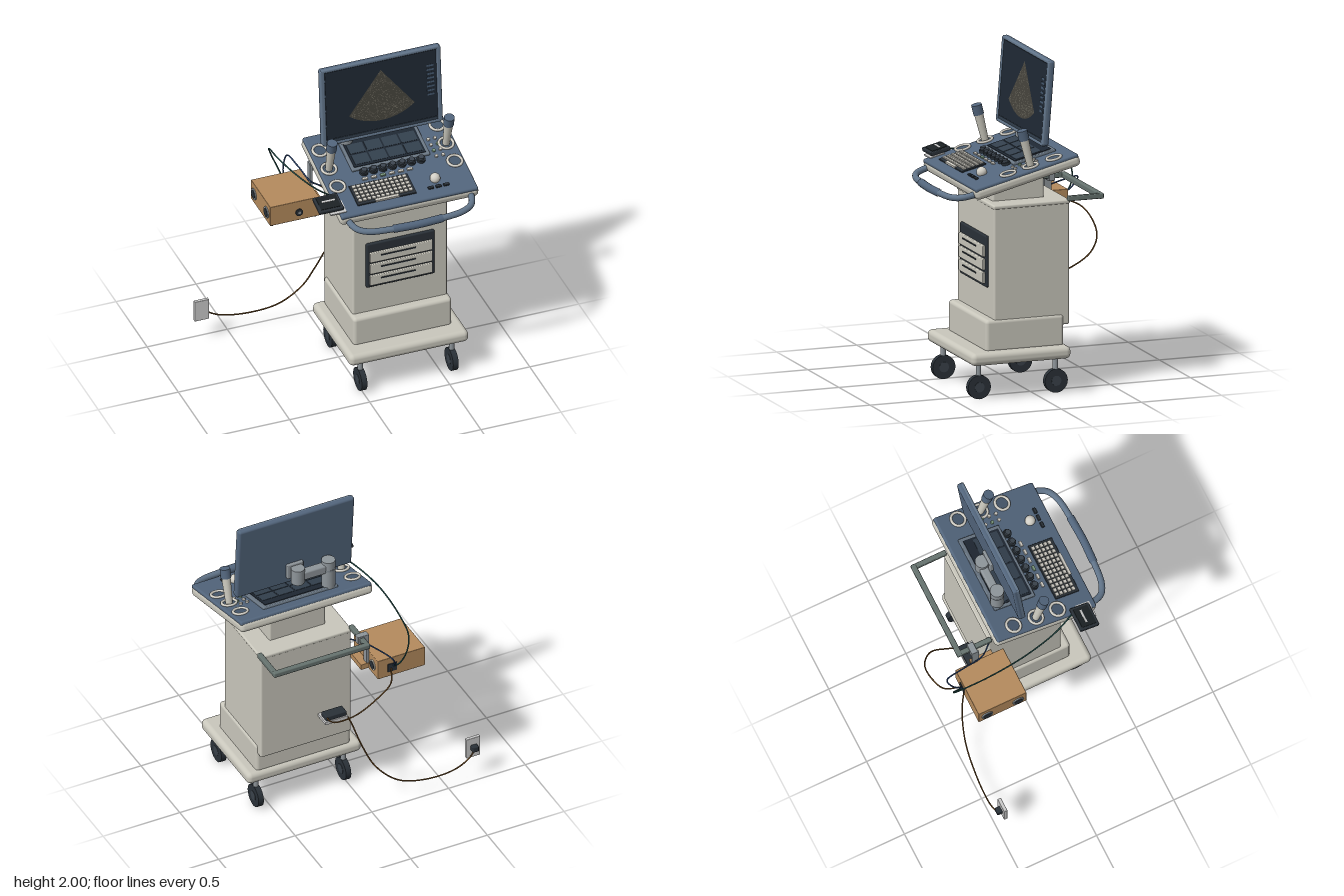
import * as THREE from 'three';
import { RoundedBoxGeometry } from 'three/addons/geometries/RoundedBoxGeometry.js';

const BEIGE = 0xc9c7bc, BLUE = 0x53667d, DARK = 0x2a3138, SCREEN = 0x1f2833, WOOD = 0xb58b5d;
const METAL = 0x8e959a, RAIL = 0x66736f, KEY = 0xd2cfc6, WHITE = 0xd6d6d4;
const V = (x, y, z) => new THREE.Vector3(x, y, z);
const mats = {};
const mat = c => (mats[c] ??= new THREE.MeshStandardMaterial({ color: c }));

function add(parent, name, geo, color, x = 0, y = 0, z = 0) {
  const m = new THREE.Mesh(geo, mat(color));
  m.name = name;
  m.position.set(x, y, z);
  parent.add(m);
  return m;
}
// Box given by its extents, with optional rounded edges
function box(parent, name, color, x0, x1, y0, y1, z0, z1, r = 0) {
  const w = x1 - x0, h = y1 - y0, d = z1 - z0;
  const geo = r ? new RoundedBoxGeometry(w, h, d, 3, r) : new THREE.BoxGeometry(w, h, d);
  return add(parent, name, geo, color, (x0 + x1) / 2, (y0 + y1) / 2, (z0 + z1) / 2);
}
function cyl(parent, name, color, r, h, x, y, z, axis = 'y', r2 = r) {
  const m = add(parent, name, new THREE.CylinderGeometry(r, r2, h, 24), color, x, y, z);
  if (axis === 'x') m.rotation.z = Math.PI / 2;
  if (axis === 'z') m.rotation.x = Math.PI / 2;
  return m;
}
function tube(parent, name, color, r, pts, sides = 8) {
  const curve = new THREE.CatmullRomCurve3(pts.map(p => V(...p)), false, 'centripetal');
  return add(parent, name, new THREE.TubeGeometry(curve, 64, r, sides), color);
}
function group(parent, name, x = 0, y = 0, z = 0) {
  const g = new THREE.Group();
  g.name = name;
  g.position.set(x, y, z);
  parent.add(g);
  return g;
}

function buildCart(root) {
  const g = group(root, 'cart');
  box(g, 'basePlate', BEIGE, -0.09, 0.655, 0.21, 0.285, -0.2, 0.42, 0.03);
  box(g, 'plinth', BEIGE, -0.025, 0.59, 0.27, 0.465, -0.178, 0.31, 0.022);
  box(g, 'body', BEIGE, -0.01, 0.58, 0.4, 1.135, -0.215, 0.257, 0.012);
  box(g, 'bodyLid', BEIGE, -0.014, 0.584, 1.12, 1.145, -0.218, 0.26, 0.01);
  box(g, 'neck', BEIGE, 0.1, 0.465, 1.13, 1.3, -0.1, 0.22, 0.012);
  box(g, 'neckCore', BEIGE, 0.13, 0.435, 1.28, 1.33, -0.06, 0.17);
  // Casters
  for (const x of [0, 0.57]) for (const z of [0.35, -0.13]) {
    const c = group(g, 'caster', x, 0, z);
    cyl(c, 'wheel', DARK, 0.071, 0.034, 0, 0.071, 0, 'x');
    cyl(c, 'hub', 0x3a424a, 0.03, 0.038, 0, 0.071, 0, 'x');
    cyl(c, 'stem', METAL, 0.016, 0.09, 0, 0.175, 0);
  }
  // Drawers
  box(g, 'drawerFrame', DARK, 0.07, 0.495, 0.64, 0.945, 0.25, 0.274, 0.008);
  for (let i = 0; i < 3; i++) {
    const y = 0.66 + i * 0.08;
    box(g, 'drawer', BEIGE, 0.088, 0.478, y, y + 0.067, 0.26, 0.288, 0.005);
    box(g, 'drawerSlot', DARK, 0.153, 0.37, y + 0.041, y + 0.049, 0.28, 0.292);
  }
  // Rear rail: two side arms and a crossbar
  for (const x of [-0.015, 0.583]) box(g, 'railArm', RAIL, x - 0.015, x + 0.015, 1.137, 1.167, -0.42, -0.2, 0.006);
  box(g, 'railBar', RAIL, -0.03, 0.598, 1.135, 1.169, -0.424, -0.392, 0.008);
}

function buildConsole(root) {
  const T = 0.245, g = group(root, 'console', 0.285, 1.365, 0.107);
  g.rotation.x = T;
  // Deck coordinates: x and z as seen from above, h is height over the deck
  const X = x => x - 0.285, Z = z => (z - 0.107) / Math.cos(T);
  const pad = (name, c, x0, x1, z0, z1, h0, h1, r = 0) => box(g, name, c, X(x0), X(x1), h0, h1, Z(z0), Z(z1), r);
  const knob = (name, c, r, h, x, z) => cyl(g, name, c, r, h, X(x), h / 2, Z(z));

  pad('deck', BEIGE, -0.148, 0.718, -0.222, 0.43, -0.075, -0.008, 0.028);
  pad('deckPanel', BLUE, -0.142, 0.712, -0.217, 0.424, -0.03, 0, 0.012);
  // Touch screen with cells
  pad('touchFrame', 0x6b7885, 0.042, 0.53, -0.15, 0.112, -0.01, 0.014, 0.006);
  pad('touchScreen', SCREEN, 0.06, 0.508, -0.13, 0.095, 0, 0.018);
  for (let i = 0; i < 4; i++) for (let j = 0; j < 2; j++) {
    const x = 0.073 + i * 0.108, z = -0.075 + j * 0.083;
    pad('touchCell', 0x33404d, x, x + 0.098, z, z + 0.072, 0.01, 0.02);
  }
  // Control knobs and soft buttons
  for (let i = 0; i < 7; i++) {
    const x = 0.105 + i * 0.0595;
    knob('knobBase', DARK, 0.026, 0.016, x, 0.135);
    knob('knob', 0x3d4650, 0.017, 0.032, x, 0.135);
  }
  for (let i = 0; i < 6; i++) {
    const x = 0.078 + i * 0.056;
    pad('softButton', i === 2 ? 0x7f9c80 : KEY, x, x + 0.032, 0.175, 0.19, 0, 0.01);
  }
  // Keyboard
  pad('keyboardBase', DARK, -0.022, 0.346, 0.213, 0.367, 0, 0.01, 0.004);
  for (let r = 0; r < 5; r++) for (let c = 0; c < 12; c++) {
    const x = -0.008 + c * 0.0287, z = 0.223 + r * 0.0262;
    pad('key', KEY, x, x + 0.022, z, z + 0.019, 0.004, 0.018);
  }
  pad('spaceBar', KEY, 0.09, 0.236, 0.352, 0.368, 0.004, 0.018);
  // Trackball and its buttons
  add(g, 'trackball', new THREE.SphereGeometry(0.031, 24, 16), KEY, X(0.487), 0.014, Z(0.295));
  for (const x of [0.44, 0.488, 0.536]) pad('trackButton', DARK, x - 0.018, x + 0.018, 0.342, 0.361, 0, 0.012, 0.004);
  for (const x of [0.56, 0.602]) for (let i = 0; i < 4; i++)
    knob('smallButton', (i + (x > 0.6)) % 3 === 2 ? 0x7f9c80 : KEY, 0.01, 0.01, x, i * 0.044);
  // Holder rings and the two wands
  for (const x of [-0.082, 0.65]) {
    for (const z of [-0.09, 0.055, 0.195]) {
      const ring = add(g, 'holderRing', new THREE.TorusGeometry(0.043, 0.008, 10, 32), KEY, X(x), 0.006, Z(z));
      ring.rotation.x = Math.PI / 2;
      knob('holderWell', 0x46586c, 0.038, 0.004, x, z);
    }
    const w = group(g, 'wand', X(x), 0, Z(0.055));
    cyl(w, 'wandGrip', BEIGE, 0.027, 0.17, 0, 0.085, 0, 'y', 0.021);
    cyl(w, 'wandCap', BLUE, 0.031, 0.06, 0, 0.197, 0);
  }
  // Front handle with thicker grip
  const zf = Z(0.4), ze = Z(0.553);
  const hp = [[-0.095, zf], [-0.092, Z(0.45)], [-0.065, Z(0.5)], [0, Z(0.532)], [0.13, ze - 0.006], [0.285, ze],
    [0.44, ze - 0.006], [0.57, Z(0.532)], [0.635, Z(0.5)], [0.662, Z(0.45)], [0.665, zf]];
  tube(g, 'frontHandle', 0x62758a, 0.019, hp.map(([x, z]) => [X(x), -0.045, z]), 14);
  tube(g, 'handleGrip', BLUE, 0.024, hp.slice(4, 7).map(([x, z]) => [X(x), -0.045, z]), 14);
  // Side tray with handheld receiver
  pad('trayBracket', WHITE, -0.2, -0.1, 0.3, 0.39, -0.005, 0.005);
  pad('receiver', DARK, -0.265, -0.112, 0.255, 0.375, 0.004, 0.028, 0.006);
  pad('receiverFace', 0x1c2225, -0.25, -0.127, 0.268, 0.36, 0.02, 0.031);
  pad('receiverLabel', WHITE, -0.228, -0.145, 0.3, 0.312, 0.025, 0.033);
}

function buildMonitor(root) {
  const g = group(root, 'monitor', 0.2825, 1.745, -0.056);
  g.rotation.x = -0.08;
  box(g, 'monitorShell', BLUE, -0.377, 0.377, -0.255, 0.255, -0.02, 0.016, 0.015);
  box(g, 'screen', SCREEN, -0.347, 0.347, -0.215, 0.232, 0, 0.0185);
  box(g, 'lowerTrim', 0x303d4b, -0.347, 0.347, -0.236, -0.217, 0, 0.02);
  // Bezel bars
  for (const s of [-1, 1]) box(g, 'bezelSide', 0x62758a, s * 0.362 - 0.015, s * 0.362 + 0.015, -0.25, 0.25, -0.005, 0.023, 0.01);
  for (const y of [-0.246, 0.243]) box(g, 'bezelEdge', 0x62758a, -0.37, 0.37, y - 0.011, y + 0.011, -0.005, 0.023, 0.009);
  // Sector image with a seeded speckle
  const half = 0.66;
  add(g, 'sectorImage', new THREE.CircleGeometry(0.335, 32, -Math.PI / 2 - half, 2 * half), 0x45433c, 0, 0.174, 0.0195);
  let seed = 7;
  const rnd = () => (seed = (seed * 16807) % 2147483647) / 2147483647;
  const specks = new THREE.InstancedMesh(new THREE.PlaneGeometry(0.005, 0.004), mat(0x6b685c), 500);
  specks.name = 'sectorSpeckle';
  for (let i = 0; i < 500; i++) {
    const r = 0.33 * Math.sqrt(rnd()), a = (rnd() * 2 - 1) * half * 0.97;
    specks.setMatrixAt(i, new THREE.Matrix4().makeTranslation(r * Math.sin(a), 0.174 - r * Math.cos(a), 0.0203));
  }
  g.add(specks);
  for (let i = 0; i < 8; i++) box(g, 'menuBar', 0x44586e, 0.285, 0.33, -0.065 + i * 0.0275, -0.053 + i * 0.0275, 0.01, 0.0205);

  // Swivel arm
  const a = group(root, 'monitorArm');
  cyl(a, 'armPost', METAL, 0.041, 0.21, 0.088, 1.515, -0.112);
  cyl(a, 'armPostCap', 0x7c848b, 0.042, 0.012, 0.088, 1.56, -0.112);
  box(a, 'armBeam', METAL, 0.075, 0.285, 1.54, 1.6, -0.14, -0.09, 0.012);
  cyl(a, 'armJoint', METAL, 0.041, 0.1, 0.287, 1.576, -0.112);
  box(a, 'monitorMount', METAL, 0.235, 0.34, 1.54, 1.64, -0.085, -0.06, 0.006);
}

function buildSideBox(root) {
  const g = group(root, 'sideBox');
  box(g, 'woodenCase', WOOD, -0.37, -0.062, 0.92, 1.052, -0.455, -0.145, 0.004);
  for (const x of [-0.35, -0.08]) for (const z of [-0.43, -0.17]) cyl(g, 'foot', DARK, 0.011, 0.012, x, 0.915, z);
  // Ports: front, left side, back and the pair on the right side
  cyl(g, 'frontPort', DARK, 0.023, 0.012, -0.19, 0.976, -0.143, 'z');
  cyl(g, 'frontPortCore', METAL, 0.009, 0.016, -0.19, 0.976, -0.143, 'z');
  cyl(g, 'sidePortRing', BEIGE, 0.033, 0.008, -0.06, 0.985, -0.39, 'x');
  cyl(g, 'sidePort', DARK, 0.026, 0.012, -0.06, 0.985, -0.39, 'x');
  box(g, 'rearPort', DARK, -0.185, -0.125, 0.955, 1.01, -0.46, -0.44);
  for (const z of [-0.4, -0.2]) {
    cyl(g, 'socketRing', METAL, 0.036, 0.012, -0.371, 0.985, z, 'x');
    cyl(g, 'socket', DARK, 0.027, 0.016, -0.371, 0.985, z, 'x');
  }
  // Clamp hanging from the rail
  box(g, 'clampTop', METAL, -0.06, 0.012, 1.125, 1.178, -0.347, -0.307, 0.004);
  box(g, 'clampBar', METAL, -0.06, -0.045, 0.97, 1.17, -0.343, -0.3);
  box(g, 'clampFoot', WOOD, -0.065, -0.01, 0.93, 0.965, -0.34, -0.2);
}

function buildPower(root) {
  const g = group(root, 'powerSupply');
  box(g, 'adapterShelf', WHITE, 0.06, 0.207, 0.58, 0.6, -0.312, -0.21);
  box(g, 'adapter', DARK, 0.066, 0.2, 0.6, 0.632, -0.308, -0.243, 0.006);
  box(g, 'wallPlate', WHITE, -0.725, -0.635, 0.145, 0.282, -0.464, -0.442, 0.004);
  box(g, 'plug', DARK, -0.702, -0.662, 0.198, 0.235, -0.496, -0.46, 0.006);
  // Cables
  tube(g, 'probeCable', 0x24504c, 0.0045, [[-0.14, 1.335, 0.27], [-0.2, 1.32, 0.12], [-0.245, 1.3, -0.1], [-0.255, 1.26, -0.33],
    [-0.24, 1.21, -0.5], [-0.21, 1.13, -0.535], [-0.175, 1.04, -0.51], [-0.16, 0.985, -0.45]]);
  tube(g, 'signalCable', 0x2f4a78, 0.0045, [[-0.165, 0.99, -0.45], [-0.145, 1.05, -0.515], [-0.115, 1.11, -0.535], [-0.09, 1.1, -0.42],
    [-0.06, 1.07, -0.28], [0, 1.07, -0.205]]);
  tube(g, 'supplyCable', 0x6b4a24, 0.0045, [[-0.15, 0.98, -0.45], [-0.1, 0.94, -0.545], [0.01, 0.88, -0.575], [0.13, 0.8, -0.56],
    [0.21, 0.72, -0.48], [0.207, 0.65, -0.37], [0.19, 0.618, -0.295]]);
  tube(g, 'mainsCable', 0x6b4a24, 0.0045, [[0.07, 0.615, -0.285], [0.04, 0.54, -0.315], [0, 0.4, -0.37], [-0.07, 0.25, -0.415],
    [-0.2, 0.135, -0.455], [-0.38, 0.1, -0.48], [-0.55, 0.12, -0.492], [-0.64, 0.17, -0.492], [-0.68, 0.21, -0.485]]);
}

export function createModel() {
  const root = new THREE.Group();
  root.name = 'ultrasoundCart';
  for (const build of [buildCart, buildConsole, buildMonitor, buildSideBox, buildPower]) build(root);
  return root;
}
